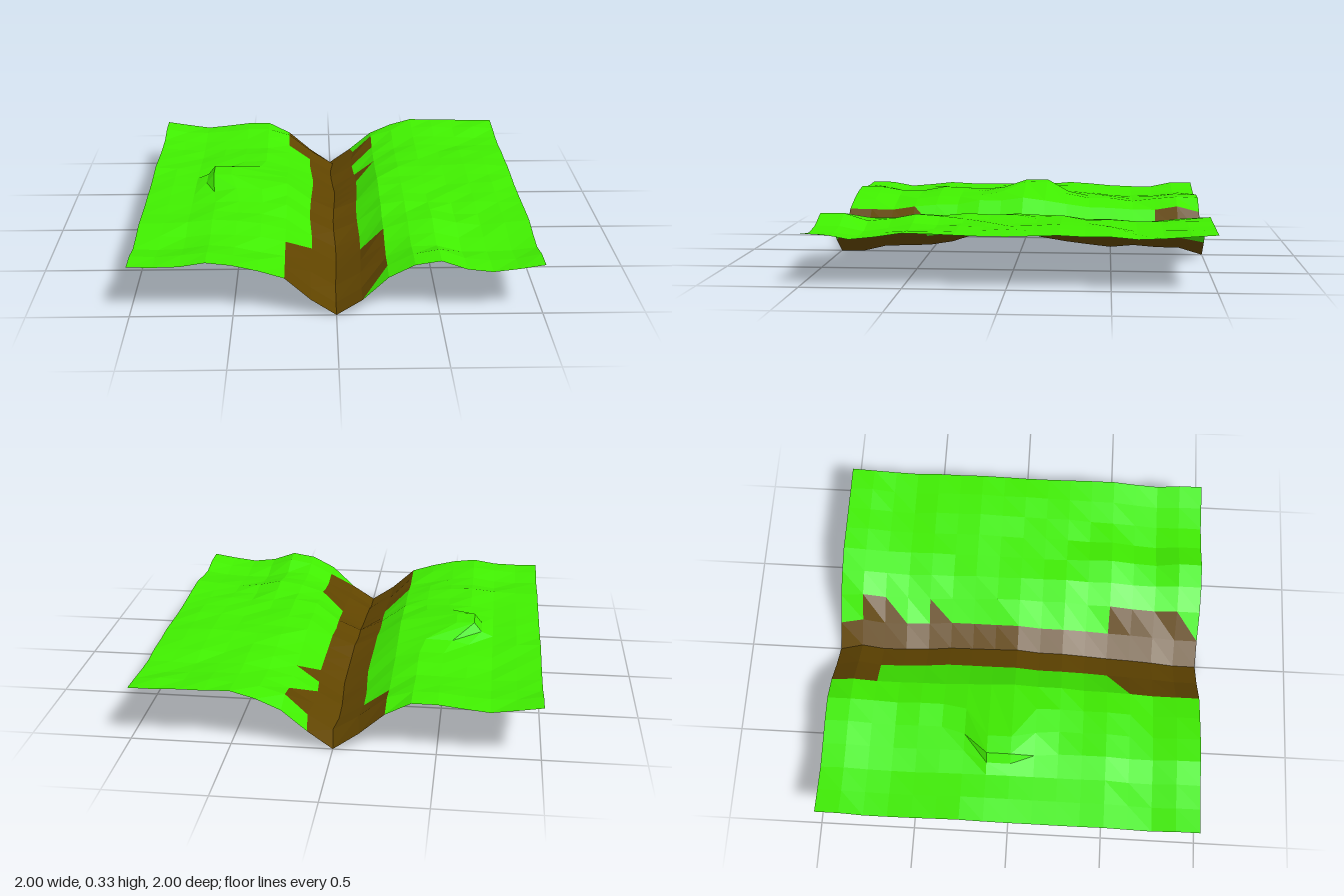
import * as THREE from 'three';

const N = 16, STEP = 2 / N;

// Cross-sections of the land at the front edge, the middle and the back edge
const FRONT = [.265, .262, .265, .285, .27, .24, .2, .085, 0, .08, .2, .265, .285, .24, .225, .24, .26];
const MIDDLE = [.262, .262, .258, .265, .27, .275, .27, .175, .115, .165, .26, .268, .262, .265, .272, .27, .262];
const BACK = [.275, .255, .237, .25, .265, .265, .2, .09, 0, .09, .195, .25, .285, .28, .28, .275, .275];
// From back to front: channel floor height, channel sideways drift, rise or dip of the meadows
const FLOOR = [0, .04, .04, .05, .04, .055, .07, .09, .115, .1, .1, .06, .04, .035, .03, 0, 0];
const DRIFT = [0, .015, 0, 0, .01, .018, .015, .01, .005, 0, 0, .008, .008, .005, 0, 0, 0];
const ROLL = [0, 0, -.016, -.022, -.012, -.006, 0, 0, 0, 0, 0, 0, .006, -.012, -.026, -.004, 0];
// Knoll: [column, row, x shift, height]; its west face is pulled into a steep step
const KNOLL = [
  [3, 7, -.065, .28], [3, 8, -.065, .28], [3, 9, -.015, .28],
  [4, 6, -.04, .275], [4, 7, -.15, .33], [4, 8, -.15, .33], [4, 9, -.02, .3],
  [5, 6, -.025, .278], [5, 7, -.18, .326], [5, 8, -.18, .328], [5, 9, -.01, .292],
];

// Repeatable unevenness between -1 and 1
function bump(ix, iz) {
  const s = Math.sin(ix * 127.1 + iz * 311.7) * 43758.5453;
  return 2 * (s - Math.floor(s)) - 1;
}

function gridPoint(ix, iz) {
  const x = -1 + ix * STEP, z = -1 + iz * STEP;
  const knoll = KNOLL.find(k => k[0] === ix && k[1] === iz);
  if (knoll) return [x + knoll[2], knoll[3], z];
  const edge = z < 0 ? BACK : FRONT;
  const y = THREE.MathUtils.lerp(edge[ix], MIDDLE[ix], FLOOR[iz] / .115);
  if (Math.abs(ix - 8) < 2) return [x + DRIFT[iz], y, z];
  const inside = iz > 0 && iz < N ? 1 : 0;
  return [x, y + ROLL[iz] + .007 * inside * bump(ix, iz), z];
}

// Bare soil: the channel itself, plus patches reaching up each bank
function isSoil(ix, iz, second) {
  if (ix === 7 || ix === 8) return true;
  if (ix === 6) return iz <= 1 || iz >= 13 || (iz === 12 && second);
  if (ix === 9) {
    if (iz === 1 || (iz >= 12 && iz <= 14)) return true;
    return !second && (iz === 2 || iz === 4 || iz === 15);
  }
  return false;
}

function surface(name, positions, color) {
  const geometry = new THREE.BufferGeometry();
  geometry.setAttribute('position', new THREE.Float32BufferAttribute(positions, 3));
  geometry.computeVertexNormals();
  const material = new THREE.MeshStandardMaterial({ color, flatShading: true, side: THREE.DoubleSide });
  const mesh = new THREE.Mesh(geometry, material);
  mesh.name = name;
  return mesh;
}

export function createModel() {
  const grass = [], soil = [];
  for (let iz = 0; iz < N; iz++) {
    for (let ix = 0; ix < N; ix++) {
      const a = gridPoint(ix, iz), b = gridPoint(ix, iz + 1);
      const c = gridPoint(ix + 1, iz + 1), d = gridPoint(ix + 1, iz);
      (isSoil(ix, iz, false) ? soil : grass).push(...a, ...b, ...d);
      (isSoil(ix, iz, true) ? soil : grass).push(...b, ...c, ...d);
    }
  }
  const model = new THREE.Group();
  model.name = 'valleyTerrain';
  model.add(surface('grassMeadow', grass, 0x40ee00), surface('soilChannel', soil, 0x614500));
  return model;
}
